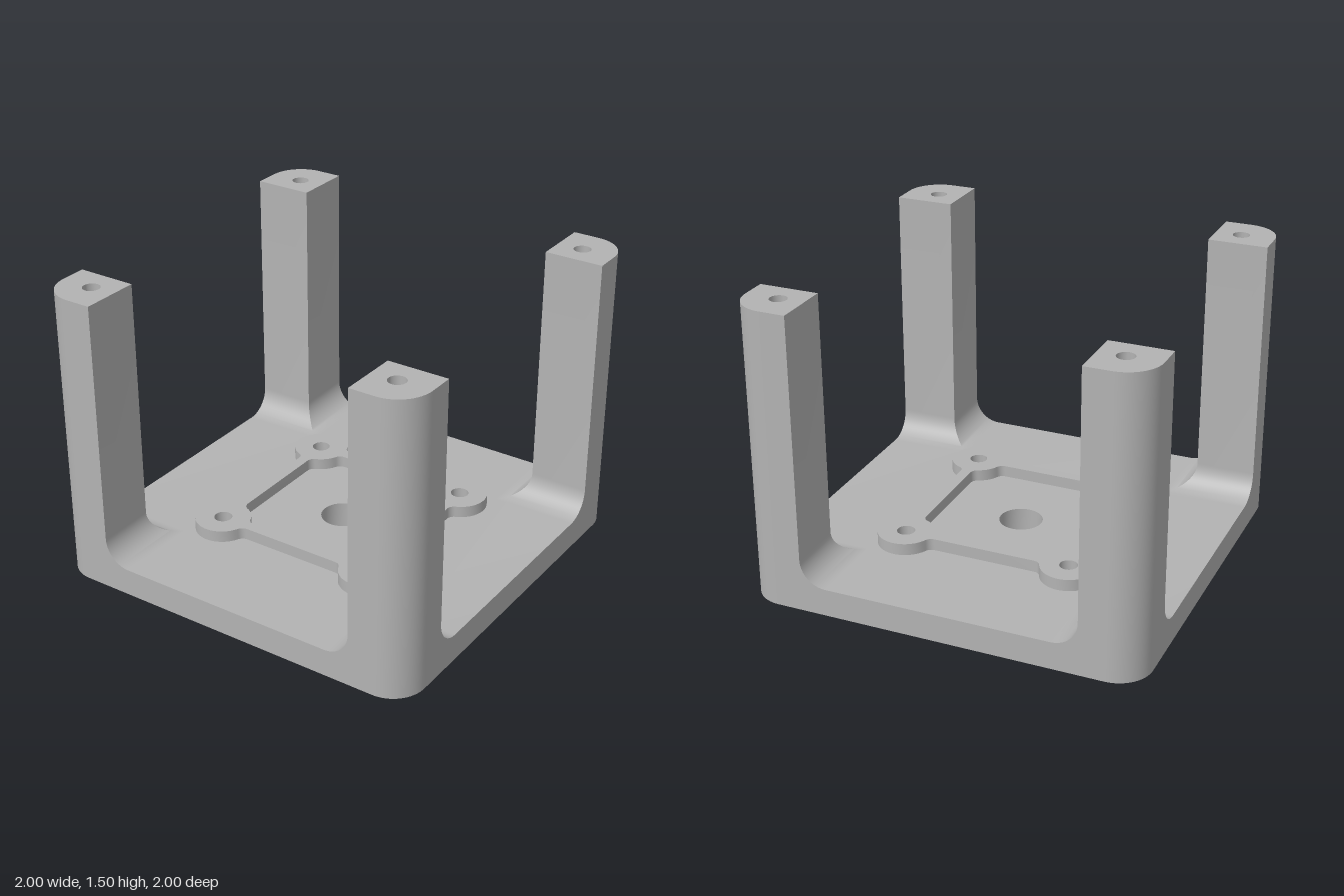
import * as THREE from 'three';
import { mergeGeometries, toCreasedNormals } from 'three/addons/utils/BufferGeometryUtils.js';

const BASE = 0.14, TOP = 1.5, RING_TOP = 0.2;   // heights
const POST = 0.7, FILLET = 0.13, FOOT = POST - FILLET; // inner post face and its fillet
const CORNER = 0.17, SCREW = 0.83, BOLT = 0.43; // outer rounding, hole centres
const SEG = 16;

// Points along an arc
function arc(cx, cy, r, a0, a1, n) {
  return Array.from({ length: n + 1 }, (_, i) => {
    const a = a0 + (a1 - a0) * i / n;
    return new THREE.Vector2(cx + r * Math.cos(a), cy + r * Math.sin(a));
  });
}

// Repeat one corner's points around the square
function around(points) {
  const out = [];
  for (let k = 0; k < 4; k++)
    for (const p of points) out.push(p.clone().rotateAround(new THREE.Vector2(), k * Math.PI / 2));
  return out;
}

function addHole(shape, x, y, r) {
  shape.holes.push(new THREE.Path().absarc(x, y, r, 0, Math.PI * 2, true));
}

function addBoltHoles(shape, r) {
  for (const x of [-BOLT, BOLT]) for (const y of [-BOLT, BOLT]) addHole(shape, x, y, r);
}

// Keep only positions so that all pieces can be merged
function bare(geometry) {
  const g = geometry.index ? geometry.toNonIndexed() : geometry;
  for (const name of Object.keys(g.attributes)) if (name !== 'position') g.deleteAttribute(name);
  g.clearGroups();
  return g;
}

// Flat horizontal face
function cap(shape, y, up = true) {
  return bare(new THREE.ShapeGeometry(shape, SEG).rotateX(up ? -Math.PI / 2 : Math.PI / 2).translate(0, y, 0));
}

// Inward-facing wall of a round hole
function bore(x, z, r, y0, y1) {
  return bare(new THREE.CylinderGeometry(r, r, y1 - y0, SEG * 2, 1, true)
    .scale(-1, 1, 1).translate(x, (y0 + y1) / 2, z));
}

// Surface between successive rows of points
function loft(rows) {
  const pos = [];
  for (let i = 0; i + 1 < rows.length; i++)
    for (let j = 0; j + 1 < rows[i].length; j++) {
      const a = rows[i][j], b = rows[i][j + 1], c = rows[i + 1][j + 1], d = rows[i + 1][j];
      pos.push(...a, ...b, ...c, ...a, ...c, ...d);
    }
  const g = new THREE.BufferGeometry();
  g.setAttribute('position', new THREE.Float32BufferAttribute(pos, 3));
  return g;
}

function frameGeometry() {
  // Inner post profile: fillet from the floor, then straight up
  const profile = [...arc(FOOT, BASE + FILLET, FILLET, -Math.PI / 2, 0, SEG), new THREE.Vector2(POST, TOP)];
  const parts = [];

  // Floor, a cross between the four posts
  const floor = new THREE.Shape(around([[1, -FOOT], [1, FOOT], [FOOT, FOOT]].map(p => new THREE.Vector2(...p))));
  addHole(floor, 0, 0, 0.11);
  addBoltHoles(floor, 0.095);
  parts.push(cap(floor, BASE));

  // Underside
  const under = new THREE.Shape(around(arc(SCREW, SCREW, CORNER, 0, Math.PI / 2, SEG)));
  addHole(under, 0, 0, 0.11);
  addBoltHoles(under, 0.095);
  parts.push(cap(under, 0, false));

  // Centre hole and wide bolt recesses
  parts.push(bore(0, 0, 0.11, 0, BASE));
  for (const x of [-BOLT, BOLT]) for (const z of [-BOLT, BOLT]) parts.push(bore(x, z, 0.095, 0, BASE));

  // U-shaped side face
  const side = new THREE.Shape([
    new THREE.Vector2(-SCREW, 0), new THREE.Vector2(SCREW, 0), new THREE.Vector2(SCREW, TOP),
    ...profile.slice().reverse(),
    ...profile.map(p => new THREE.Vector2(-p.x, p.y)),
    new THREE.Vector2(-SCREW, TOP),
  ]);

  // Post top with a screw hole
  const postTop = new THREE.Shape([
    new THREE.Vector2(POST, POST), new THREE.Vector2(1, POST),
    ...arc(SCREW, SCREW, CORNER, 0, Math.PI / 2, SEG), new THREE.Vector2(POST, 1),
  ]);
  addHole(postTop, SCREW, SCREW, 0.043);
  const holeFloor = new THREE.Shape().absarc(SCREW, SCREW, 0.043, 0, Math.PI * 2);

  const corner = arc(SCREW, SCREW, CORNER, Math.PI / 2, 0, SEG);
  const quarter = mergeGeometries([
    bare(new THREE.ShapeGeometry(side).translate(0, 0, 1)),
    cap(postTop, TOP),
    cap(holeFloor, TOP - 0.3),
    bore(SCREW, -SCREW, 0.043, TOP - 0.3, TOP),
    // rounded outer corner
    loft([0, TOP].map(y => corner.map(p => [p.x, y, p.y]))),
    // inner faces, mitred along the diagonal
    loft(profile.map(p => [[p.x, p.y, p.x], [p.x, p.y, 1]])),
    loft(profile.map(p => [[1, p.y, p.x], [p.x, p.y, p.x]])),
  ]);
  for (let k = 0; k < 4; k++) parts.push(quarter.clone().rotateY(k * Math.PI / 2));
  return toCreasedNormals(mergeGeometries(parts), 0.6);
}

// Raised outline: four round bosses joined by thin ribs with blended ends
function ringGeometry() {
  const r = 0.14, w = 0.0275, f = 0.04, c = BOLT, h = Math.PI / 2;
  const dx = Math.sqrt((r + f) ** 2 - (w + f) ** 2);
  const phi = Math.atan2(dx, -(w + f)), psi = Math.atan2(dx, w + f);
  const outer = around([
    ...arc(c + w + f, c - dx, f, Math.PI, phi, 6),
    ...arc(c, c, r, phi - Math.PI, h - phi + Math.PI, 28).slice(1, -1),
    ...arc(c - dx, c + w + f, f, h - phi, -h, 6),
  ]);
  const inner = around([
    ...arc(c - w - f, c - dx, f, 0, psi, 6),
    ...arc(c, c, r, psi + Math.PI, 3 * h - psi, 8).slice(1, -1),
    ...arc(c - dx, c - w - f, f, h - psi, h, 6),
  ]);
  const shape = new THREE.Shape(outer);
  shape.holes.push(new THREE.Path(inner));
  addBoltHoles(shape, 0.045);
  const g = new THREE.ExtrudeGeometry(shape, { depth: RING_TOP - BASE, bevelEnabled: false, curveSegments: SEG });
  return toCreasedNormals(bare(g.rotateX(-Math.PI / 2).translate(0, BASE, 0)), 0.6);
}

export function createModel() {
  const grey = new THREE.MeshStandardMaterial({ color: 0xb3b3b3 });
  grey.name = 'grey';
  const group = new THREE.Group();
  group.name = 'mountingBracket';
  for (const [name, geometry] of [['baseWithPosts', frameGeometry()], ['raisedBoltRing', ringGeometry()]]) {
    const mesh = new THREE.Mesh(geometry, grey);
    mesh.name = name;
    group.add(mesh);
  }
  return group;
}
